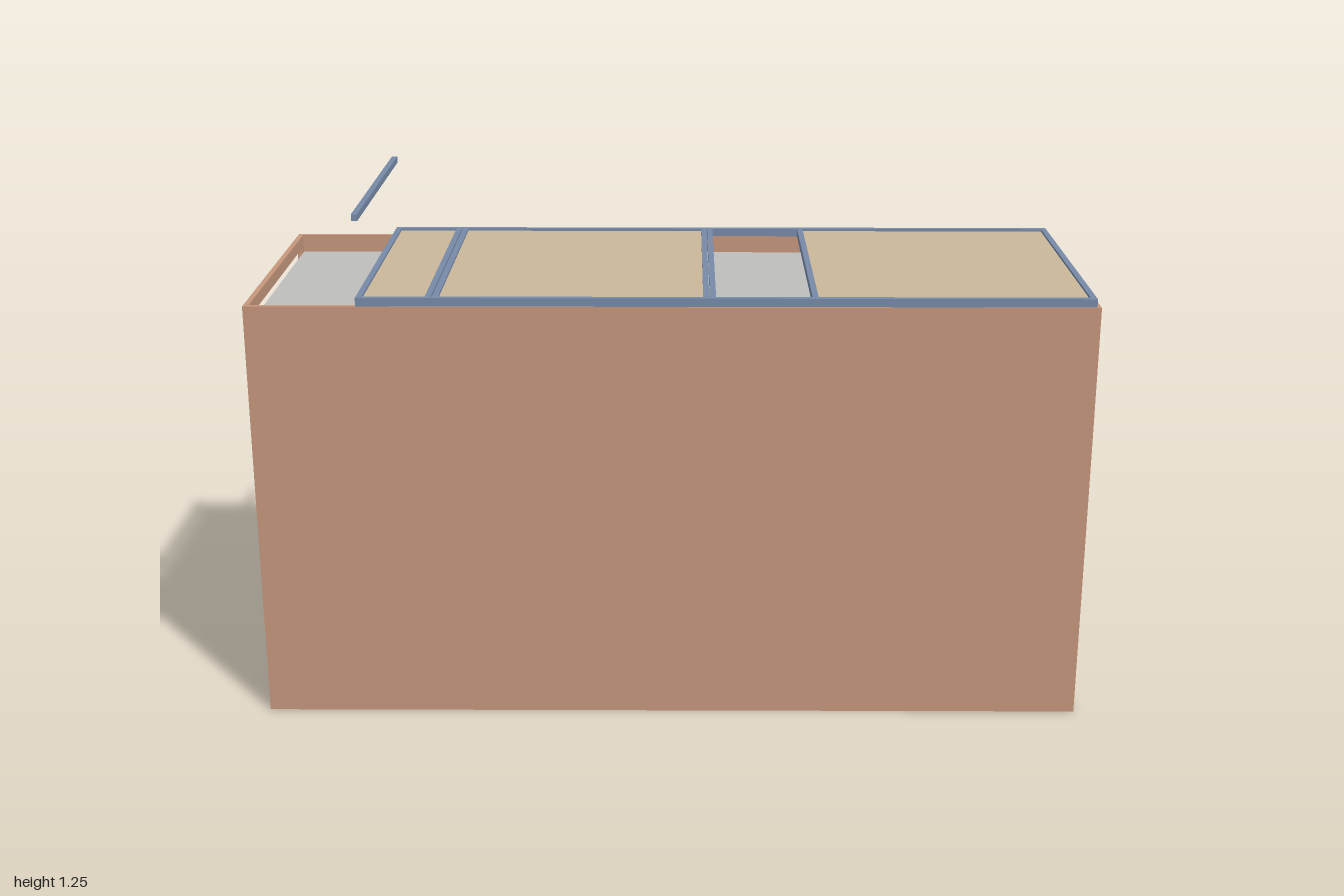
import * as THREE from 'three';

export function createModel() {
  const model = new THREE.Group();
  model.name = 'rowHouse';

  const mat = (name, color) => {
    const m = new THREE.MeshStandardMaterial({ color });
    m.name = name;
    return m;
  };
  const brick = mat('brick', 0xc4967c);
  const concrete = mat('concrete', 0xbdbdba);
  const panel = mat('roofPanel', 0xc8b698);
  const steel = mat('steel', 0x7589a6);

  const H = 1.04, Z = 0.365, T = 0.013;

  // Box given by its limits on each axis
  const box = (name, material, [x0, x1], [y0, y1], [z0, z1]) => {
    const mesh = new THREE.Mesh(new THREE.BoxGeometry(x1 - x0, y1 - y0, z1 - z0), material);
    mesh.position.set((x0 + x1) / 2, (y0 + y1) / 2, (z0 + z1) / 2);
    mesh.name = name;
    model.add(mesh);
  };

  // End wall drawn in the (z, y) plane, with openings, ending at x = outer
  const endWall = (name, outline, openings, outer) => {
    const toPoints = (list) => list.map(([z, y]) => new THREE.Vector2(z, y));
    const shape = new THREE.Shape(toPoints(outline));
    for (const o of openings) shape.holes.push(new THREE.Path(toPoints(o)));
    const geo = new THREE.ExtrudeGeometry(shape, { depth: T, bevelEnabled: false });
    geo.rotateY(-Math.PI / 2);
    geo.translate(outer, 0, 0);
    const mesh = new THREE.Mesh(geo, brick);
    mesh.name = name;
    model.add(mesh);
  };
  const rect = (z0, z1, y0, y1) => [[z0, y0], [z0, y1], [z1, y1], [z1, y0]];

  // Long side walls
  box('frontWall', brick, [-1, 1], [0, H], [Z - T, Z]);
  box('backWall', brick, [-1, 1], [0, H], [-Z, -Z + T]);

  // Street end: small windows, doors and a strip window
  const zi = Z - T;
  endWall('windowWall', [[-zi, 0], [zi, 0], [zi, H], [-zi, H]], [
    ...[0.12, -0.015, -0.15].map((z) => rect(z - 0.031, z + 0.031, 0.66, 0.727)),
    ...[0.12, -0.015].map((z) => rect(z - 0.031, z + 0.031, 0.457, 0.523)),
    rect(0.252, 0.322, 0.195, 0.348),
    [[0.188, 0.195], [0.188, 0.344], [-0.21, 0.344], [-0.21, 0.309], [0.052, 0.309], [0.052, 0.195]],
    rect(-0.35, -0.233, 0.195, 0.344),
  ], 1);

  // Garden end: wide openings above a passage at ground level
  endWall('openingWall', [
    [-zi, 0], [-0.315, 0], [-0.315, 0.175], [0.22, 0.175], [0.22, 0], [zi, 0], [zi, H], [-zi, H],
  ], [
    rect(-0.33, 0.31, 0.89, 1.01),
    rect(-0.2, 0.227, 0.638, 0.767),
    rect(-0.2, 0.227, 0.357, 0.507),
  ], -1 + T);
  box('passagePost', brick, [-1, -1 + T], [0, 0.175], [-0.215, -0.16]);

  // Storey floors and the roof slab
  for (const y of [0.15, 0.352, 0.615, 0.86, 0.995]) {
    box('floor', concrete, [-1 + T, 1 - T], [y - 0.012, y], [-zi, zi]);
  }

  // Steel roof frame
  const top = 1.06;
  for (const s of [-1, 1]) {
    const a = s * 0.347, b = s * 0.362;
    box('edgeBeam', steel, [-0.737, 0.99], [H, top], [Math.min(a, b), Math.max(a, b)]);
  }
  for (const x of [-0.73, -0.569, -0.552, 0.081, 0.097, 0.336, 0.983]) {
    box('crossBeam', steel, [x - 0.007, x + 0.007], [H, top], [-0.347, 0.347]);
  }

  // Roof panels held between the beams
  for (const [x0, x1] of [[-0.723, -0.576], [-0.545, 0.074], [0.343, 0.976]]) {
    box('roofPanel', panel, [x0, x1], [1.045, 1.054], [-0.347, 0.347]);
  }

  // Raised rail above the terrace edge
  box('raisedRail', steel, [-0.739, -0.725], [1.238, 1.254], [-0.342, 0.342]);

  return model;
}
